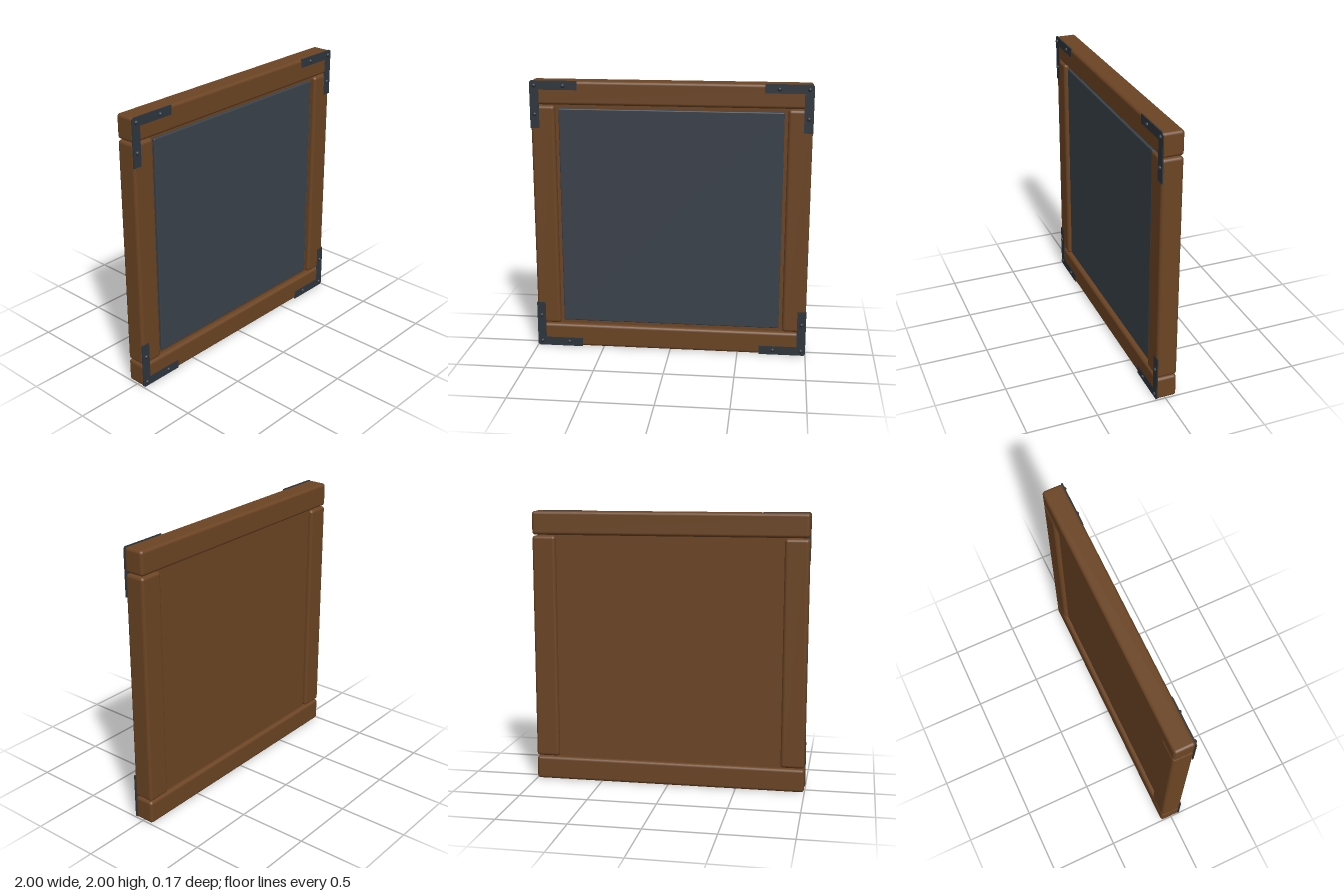
import * as THREE from 'three';
import { RoundedBoxGeometry } from 'three/addons/geometries/RoundedBoxGeometry.js';

const wood = new THREE.MeshStandardMaterial({ name: 'brown wood', color: 0x6b4423 });
const slate = new THREE.MeshStandardMaterial({ name: 'dark slate', color: 0x3a414a });
const iron = new THREE.MeshStandardMaterial({ name: 'dark iron', color: 0x2e353d });

export function createModel() {
  const model = new THREE.Group();
  model.name = 'framedBoard';

  const block = (name, w, h, d, r, material, x, y, z) => {
    const mesh = new THREE.Mesh(new RoundedBoxGeometry(w, h, d, 3, r), material);
    mesh.name = name;
    mesh.position.set(x, y, z);
    model.add(mesh);
  };

  // Rails across the full width, stiles between them
  const midZ = -0.008, depth = 0.15;
  block('topRail', 1.994, 0.17, depth, 0.022, wood, 0, 1.913, midZ);
  block('bottomRail', 1.994, 0.17, depth, 0.022, wood, 0, 0.087, midZ);
  block('leftStile', 0.172, 1.642, depth, 0.022, wood, 0.911, 1, midZ);
  block('rightStile', 0.172, 1.642, depth, 0.022, wood, -0.911, 1, midZ);

  // Recessed backing and the writing surface
  block('backing', 1.68, 1.67, 0.08, 0.005, wood, 0, 1, -0.012);
  block('slatePanel', 1.6, 1.6, 0.035, 0.008, slate, 0, 1, 0.031);

  // Corner bracket: an L plate with its outer corner at the origin
  const arm = 0.34, width = 0.065, cut = 0.012;
  const outline = new THREE.Shape([
    [cut, 0], [arm, 0], [arm, width], [width, width], [width, arm], [0, arm], [0, cut],
  ].map(([x, y]) => new THREE.Vector2(x, y)));
  const plate = new THREE.ExtrudeGeometry(outline, { depth: 0.008, bevelEnabled: false });
  const rivet = new THREE.SphereGeometry(0.015, 14, 6, 0, Math.PI * 2, 0, Math.PI / 2);
  rivet.rotateX(Math.PI / 2);

  // Mirrored to all four corners
  for (const sx of [-1, 1]) {
    for (const sy of [-1, 1]) {
      const bracket = new THREE.Group();
      bracket.name = (sy > 0 ? 'top' : 'bottom') + (sx > 0 ? 'Left' : 'Right') + 'Bracket';
      const body = new THREE.Mesh(plate, iron);
      body.name = 'bracketPlate';
      bracket.add(body);
      for (const [x, y] of [[0.033, 0.035], [0.24, 0.035], [0.033, 0.24]]) {
        const head = new THREE.Mesh(rivet, iron);
        head.name = 'rivet';
        head.position.set(x, y, 0.007);
        bracket.add(head);
      }
      bracket.position.set(sx, 1 + sy, 0.06);
      bracket.scale.set(-sx, -sy, 1);
      model.add(bracket);
    }
  }
  return model;
}
